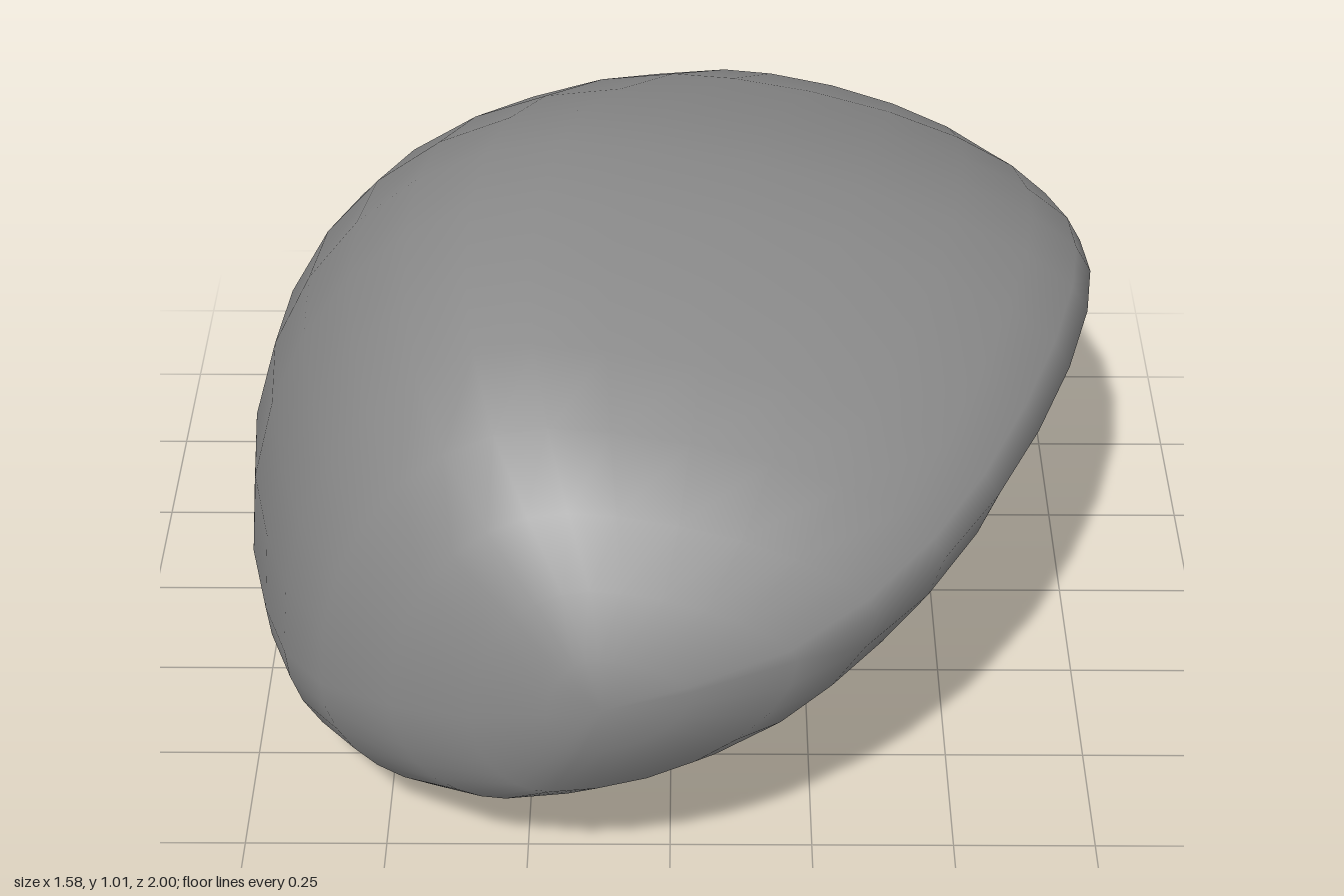
import * as THREE from 'three';
import { mergeVertices } from 'three/addons/utils/BufferGeometryUtils.js';

// Each section: z, left (x,y), right (x,y), top (x,y), bottom (x,y), roundness of the lower right side
const SECTIONS = [
  [1.0, -0.11, 0.5, -0.11, 0.5, -0.11, 0.5, -0.11, 0.5, 2],
  [0.93, -0.33, 0.43, 0.21, 0.55, -0.13, 0.69, -0.2, 0.27, 1.8],
  [0.74, -0.6, 0.35, 0.46, 0.62, -0.2, 0.88, -0.36, 0.12, 1.6],
  [0.42, -0.73, 0.27, 0.64, 0.66, -0.24, 0.99, -0.43, 0.0, 1.4],
  [0.03, -0.79, 0.26, 0.76, 0.66, -0.2, 1.01, -0.36, 0.02, 1.35],
  [-0.35, -0.73, 0.3, 0.785, 0.58, -0.1, 0.91, -0.2, 0.07, 1.55],
  [-0.72, -0.49, 0.34, 0.71, 0.46, 0.1, 0.75, 0.05, 0.08, 1.9],
  [-0.91, -0.2, 0.34, 0.56, 0.37, 0.2, 0.57, 0.18, 0.15, 2],
  [-0.98, 0.04, 0.32, 0.41, 0.32, 0.23, 0.43, 0.22, 0.22, 2],
  [-1.0, 0.2, 0.31, 0.2, 0.31, 0.2, 0.31, 0.2, 0.31, 2],
];
const SIDES = 28;
const STEPS = 2;

// Smooth blend between neighbouring sections
function sectionAt(t) {
  const last = SECTIONS.length - 1;
  const i = Math.min(Math.floor(t), last - 1);
  const f = t - i;
  const at = (k) => SECTIONS[Math.max(0, Math.min(last, k))];
  return SECTIONS[i].map((_, k) => {
    const p = at(i - 1)[k], a = at(i)[k], b = at(i + 1)[k], q = at(i + 2)[k];
    return a + 0.5 * f * (b - p + f * (2 * p - 5 * a + 4 * b - q + f * (3 * (a - b) + q - p)));
  });
}

// Point on a section outline made of four rounded quarters
function outlinePoint([z, xL, yL, xR, yR, xT, yT, xB, yB, power], angle) {
  const c = Math.cos(angle), s = Math.sin(angle);
  const right = c >= 0, up = s >= 0;
  const n = right ? (up ? 1.6 : power) : 2;
  const u = Math.abs(c) ** (2 / n), v = Math.abs(s) ** (2 / n);
  const xH = right ? xR : xL, yH = right ? yR : yL;
  const xV = up ? xT : xB, yV = up ? yT : yB;
  return [xV + (xH - xV) * u, yH + (yV - yH) * v, z];
}

function stoneGeometry() {
  const rings = (SECTIONS.length - 1) * STEPS;
  const positions = [], index = [];
  for (let i = 0; i <= rings; i++) {
    const section = sectionAt(i / STEPS);
    for (let j = 0; j < SIDES; j++) {
      positions.push(...outlinePoint(section, (j / SIDES) * Math.PI * 2));
      if (i === rings) continue;
      const a = i * SIDES + j, b = i * SIDES + ((j + 1) % SIDES);
      const c = a + SIDES, d = b + SIDES;
      if (i > 0) index.push(a, c, b);
      if (i < rings - 1) index.push(b, c, d);
      else index.push();
      if (i === 0) continue;
    }
  }
  const geometry = new THREE.BufferGeometry();
  geometry.setAttribute('position', new THREE.Float32BufferAttribute(positions, 3));
  geometry.setIndex(index);
  const merged = mergeVertices(geometry, 1e-4);
  merged.computeVertexNormals();
  return merged;
}

export function createModel() {
  const group = new THREE.Group();
  group.name = 'rock';
  const stoneGrey = new THREE.MeshStandardMaterial({ color: 0x8a8a8a });
  stoneGrey.name = 'stone grey';

  // Single tilted, smooth boulder
  const stone = new THREE.Mesh(stoneGeometry(), stoneGrey);
  stone.name = 'stone';
  group.add(stone);
  return group;
}
